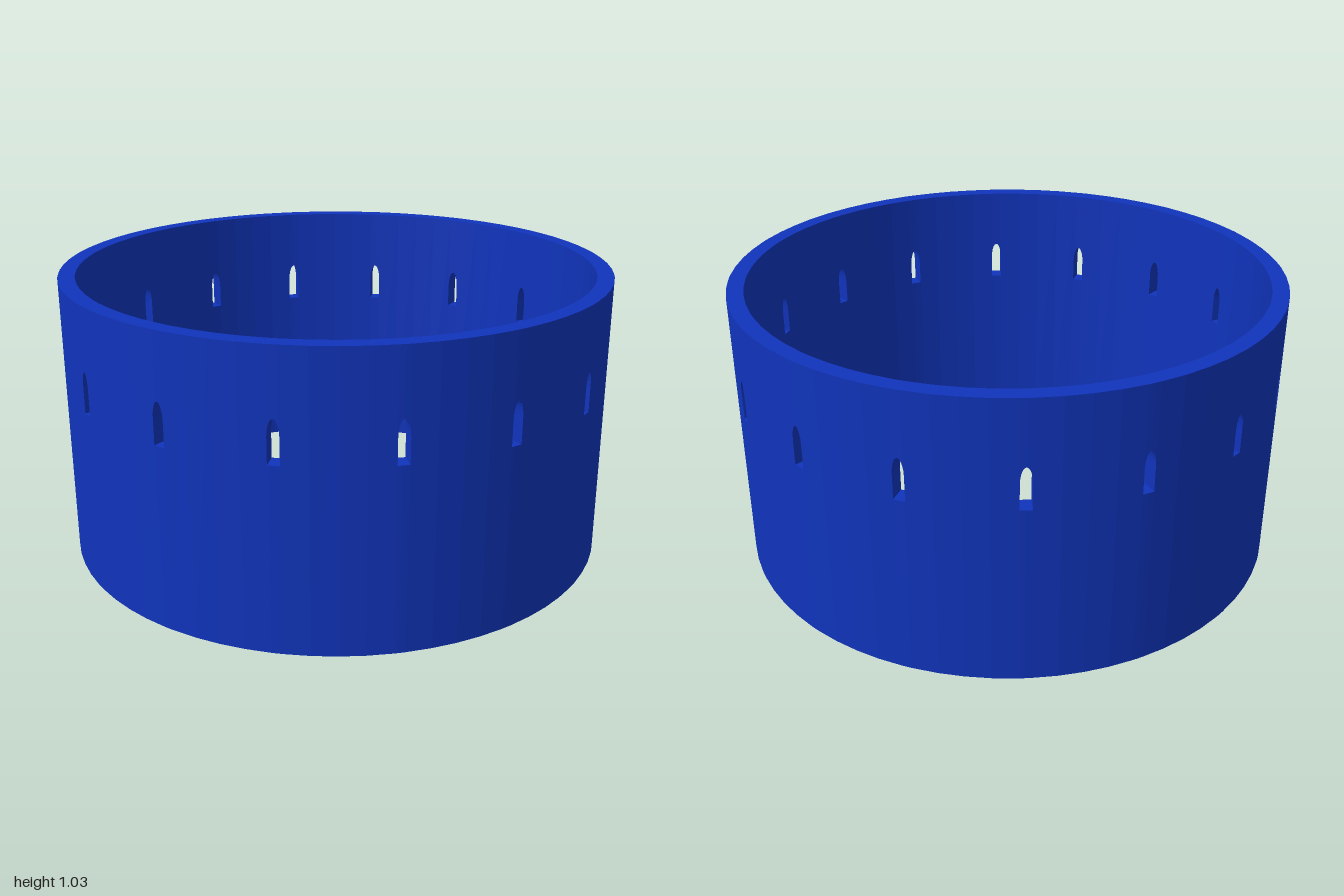
import * as THREE from 'three';

const OUTER = 1, INNER = 0.94, HEIGHT = 1.03;
const BAYS = 16, PLAIN_STEPS = 4;
const HALF = 0.02, SILL = 0.65, SPRING = 0.74, RISE = 0.06;

// Window outline: underside of the arch at sideways offset x
const archY = (x) => SPRING + RISE * Math.sqrt(Math.max(0, 1 - (x / HALF) ** 2));

// A column edge gives the angle on a given radius; slot sides stay parallel
const slotEdge = (centre, x) => (r) => centre + Math.asin(x / r);

function pierceWall() {
  const positions = [];
  const point = (edge, r, y) => [r * Math.sin(edge(r)), y, r * Math.cos(edge(r))];
  const quad = (a, b, c, d) => positions.push(...a, ...b, ...c, ...a, ...c, ...d);

  // Vertical faces, outside and inside, with a separate top height per edge
  const skin = (e0, e1, b0, b1, t0, t1) => {
    quad(point(e0, OUTER, b0), point(e1, OUTER, b1), point(e1, OUTER, t1), point(e0, OUTER, t0));
    quad(point(e1, INNER, b1), point(e0, INNER, b0), point(e0, INNER, t0), point(e1, INNER, t1));
  };
  // Face across the wall thickness, looking up or down
  const ledge = (e0, e1, y0, y1, up) => {
    const c = [point(e0, OUTER, y0), point(e1, OUTER, y1), point(e1, INNER, y1), point(e0, INNER, y0)];
    quad(...(up ? c : c.reverse()));
  };
  // Upright side of a window
  const jamb = (edge, flip) => {
    const c = [point(edge, OUTER, SILL), point(edge, INNER, SILL), point(edge, INNER, SPRING), point(edge, OUTER, SPRING)];
    quad(...(flip ? c.reverse() : c));
  };

  const xs = [];
  for (let i = 0; i <= 10; i++) xs.push(-HALF * Math.cos((Math.PI * i) / 10));

  const pitch = (Math.PI * 2) / BAYS;
  for (let bay = 0; bay < BAYS; bay++) {
    const centre = bay * pitch;

    // Arched window with wall below and above
    for (let i = 0; i < xs.length - 1; i++) {
      const e0 = slotEdge(centre, xs[i]), e1 = slotEdge(centre, xs[i + 1]);
      const y0 = archY(xs[i]), y1 = archY(xs[i + 1]);
      skin(e0, e1, 0, 0, SILL, SILL);
      skin(e0, e1, y0, y1, HEIGHT, HEIGHT);
      ledge(e0, e1, SILL, SILL, true);
      ledge(e0, e1, y0, y1, false);
      ledge(e0, e1, HEIGHT, HEIGHT, true);
      ledge(e0, e1, 0, 0, false);
    }
    jamb(slotEdge(centre, -HALF), false);
    jamb(slotEdge(centre, HALF), true);

    // Plain wall up to the next window
    const start = slotEdge(centre, HALF), end = slotEdge(centre + pitch, -HALF);
    const between = (t) => (r) => THREE.MathUtils.lerp(start(r), end(r), t);
    for (let i = 0; i < PLAIN_STEPS; i++) {
      const e0 = between(i / PLAIN_STEPS), e1 = between((i + 1) / PLAIN_STEPS);
      skin(e0, e1, 0, 0, HEIGHT, HEIGHT);
      ledge(e0, e1, HEIGHT, HEIGHT, true);
      ledge(e0, e1, 0, 0, false);
    }
  }

  const geometry = new THREE.BufferGeometry();
  geometry.setAttribute('position', new THREE.Float32BufferAttribute(positions, 3));
  geometry.computeVertexNormals();
  return geometry;
}

export function createModel() {
  const group = new THREE.Group();
  group.name = 'slottedRing';
  const wall = new THREE.Mesh(pierceWall(), new THREE.MeshStandardMaterial({ color: 0x1034bc }));
  wall.name = 'ringWall';
  group.add(wall);
  return group;
}
